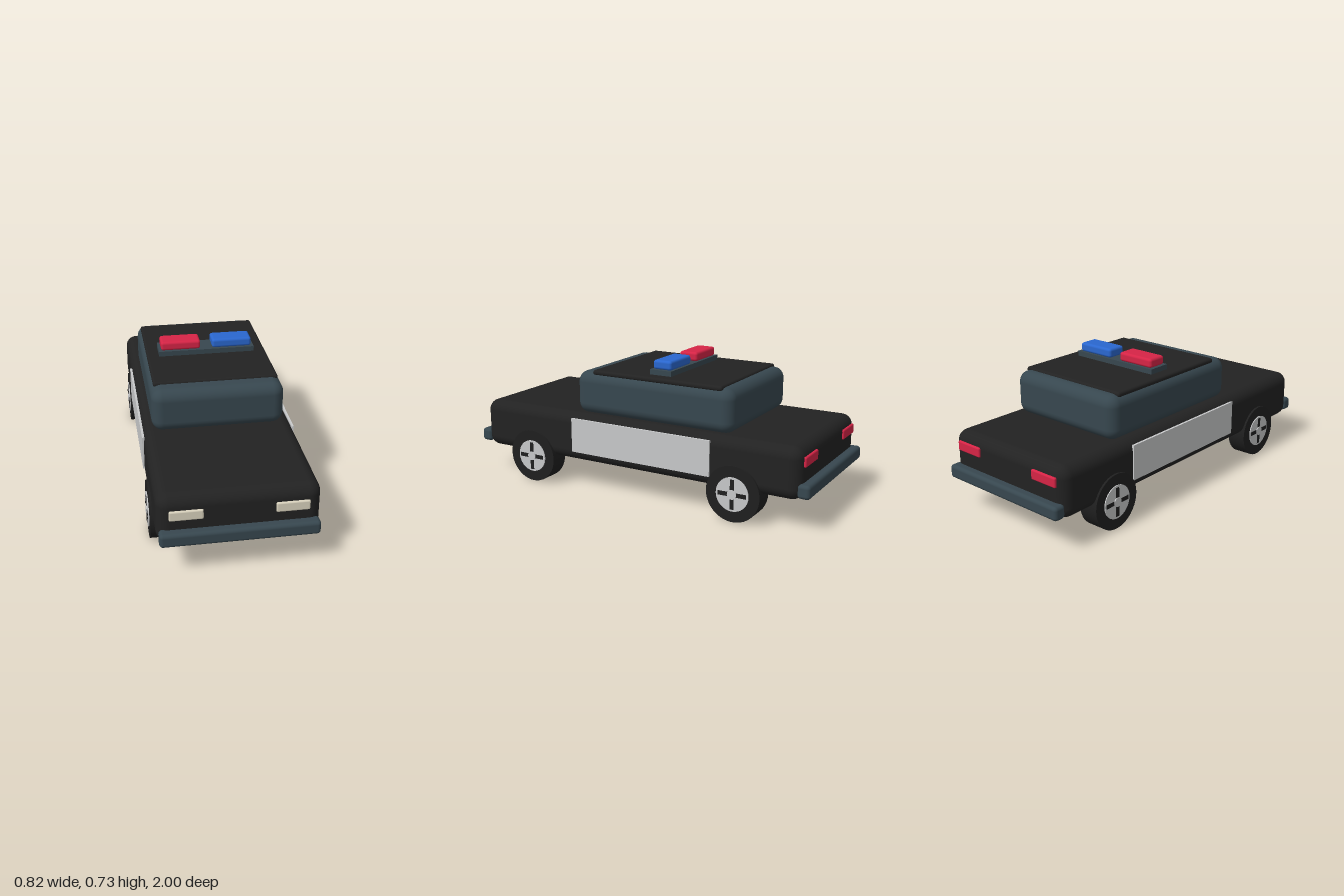
import * as THREE from 'three';
import { RoundedBoxGeometry } from 'three/addons/geometries/RoundedBoxGeometry.js';

function mat(name, color) {
  const m = new THREE.MeshStandardMaterial({ color });
  m.name = name;
  return m;
}

export function createModel() {
  const black = mat('blackPaint', 0x222222);
  const tyreBlack = mat('tyreRubber', 0x1f1f1f);
  const slate = mat('slateGlass', 0x37474f);
  const silver = mat('silver', 0xc8c9ca);
  const red = mat('redLight', 0xd62446);
  const blue = mat('blueLight', 0x2a67cf);
  const cream = mat('headlightCream', 0xd9d2bd);

  const car = new THREE.Group();
  car.name = 'patrolCar';

  const add = (parent, name, geometry, material, x = 0, y = 0, z = 0) => {
    const mesh = new THREE.Mesh(geometry, material);
    mesh.name = name;
    mesh.position.set(x, y, z);
    parent.add(mesh);
    return mesh;
  };
  // Boxes are given by their extents; radius 0 keeps sharp edges
  const box = (name, material, [x0, x1], [y0, y1], [z0, z1], radius = 0, segments = 3) => {
    const size = [x1 - x0, y1 - y0, z1 - z0];
    const geometry = radius
      ? new RoundedBoxGeometry(...size, segments, radius)
      : new THREE.BoxGeometry(...size);
    return add(car, name, geometry, material, (x0 + x1) / 2, (y0 + y1) / 2, (z0 + z1) / 2);
  };

  // Body, glass cabin and roof
  box('body', black, [-0.39, 0.39], [0.155, 0.422], [-0.955, 0.955], 0.06, 4);
  box('cabin', slate, [-0.343, 0.343], [0.415, 0.645], [-0.572, 0.356], 0.058, 4);
  box('roof', black, [-0.325, 0.325], [0.628, 0.656], [-0.507, 0.257], 0.013);

  // Bumpers
  box('frontBumper', slate, [-0.381, 0.381], [0.175, 0.246], [0.935, 1], 0.018);
  box('rearBumper', slate, [-0.381, 0.381], [0.175, 0.246], [-1, -0.935], 0.018);

  // Roof light bar
  box('lightBarBase', slate, [-0.26, 0.26], [0.65, 0.683], [-0.186, -0.06]);
  box('redBeacon', red, [-0.248, -0.033], [0.682, 0.731], [-0.178, -0.07], 0.014);
  box('blueBeacon', blue, [0.031, 0.246], [0.682, 0.731], [-0.178, -0.07], 0.014);

  // Lamps and door panels on both sides
  for (const [label, s] of [['left', 1], ['right', -1]]) {
    const span = (a, b) => [Math.min(a * s, b * s), Math.max(a * s, b * s)];
    box(label + 'Headlight', cream, span(0.17, 0.332), [0.297, 0.349], [0.935, 0.965], 0.008);
    box(label + 'TailLight', red, span(0.185, 0.345), [0.322, 0.374], [-0.965, -0.935], 0.008);
    box(label + 'DoorPanel', silver, span(0.386, 0.398), [0.21, 0.396], [-0.48, 0.35]);
  }

  // Wheels: tyre, silver disc, dark cross and hub, all seen from both faces
  const axial = (r, w, n) => new THREE.CylinderGeometry(r, r, w, n).rotateZ(Math.PI / 2);
  const tyre = axial(0.145, 0.105, 40);
  const disc = axial(0.088, 0.115, 32);
  const hub = axial(0.025, 0.125, 20);
  const upright = new THREE.BoxGeometry(0.119, 0.154, 0.022);
  const level = new THREE.BoxGeometry(0.119, 0.022, 0.154);
  for (const [end, z] of [['front', 0.62], ['rear', -0.612]]) {
    for (const [side, s] of [['Left', 1], ['Right', -1]]) {
      const wheel = new THREE.Group();
      wheel.name = end + side + 'Wheel';
      wheel.position.set(0.349 * s, 0.145, z);
      add(wheel, 'tyre', tyre, tyreBlack);
      add(wheel, 'wheelDisc', disc, silver);
      add(wheel, 'uprightSpoke', upright, tyreBlack);
      add(wheel, 'levelSpoke', level, tyreBlack);
      add(wheel, 'hub', hub, silver);
      car.add(wheel);
    }
  }
  return car;
}
